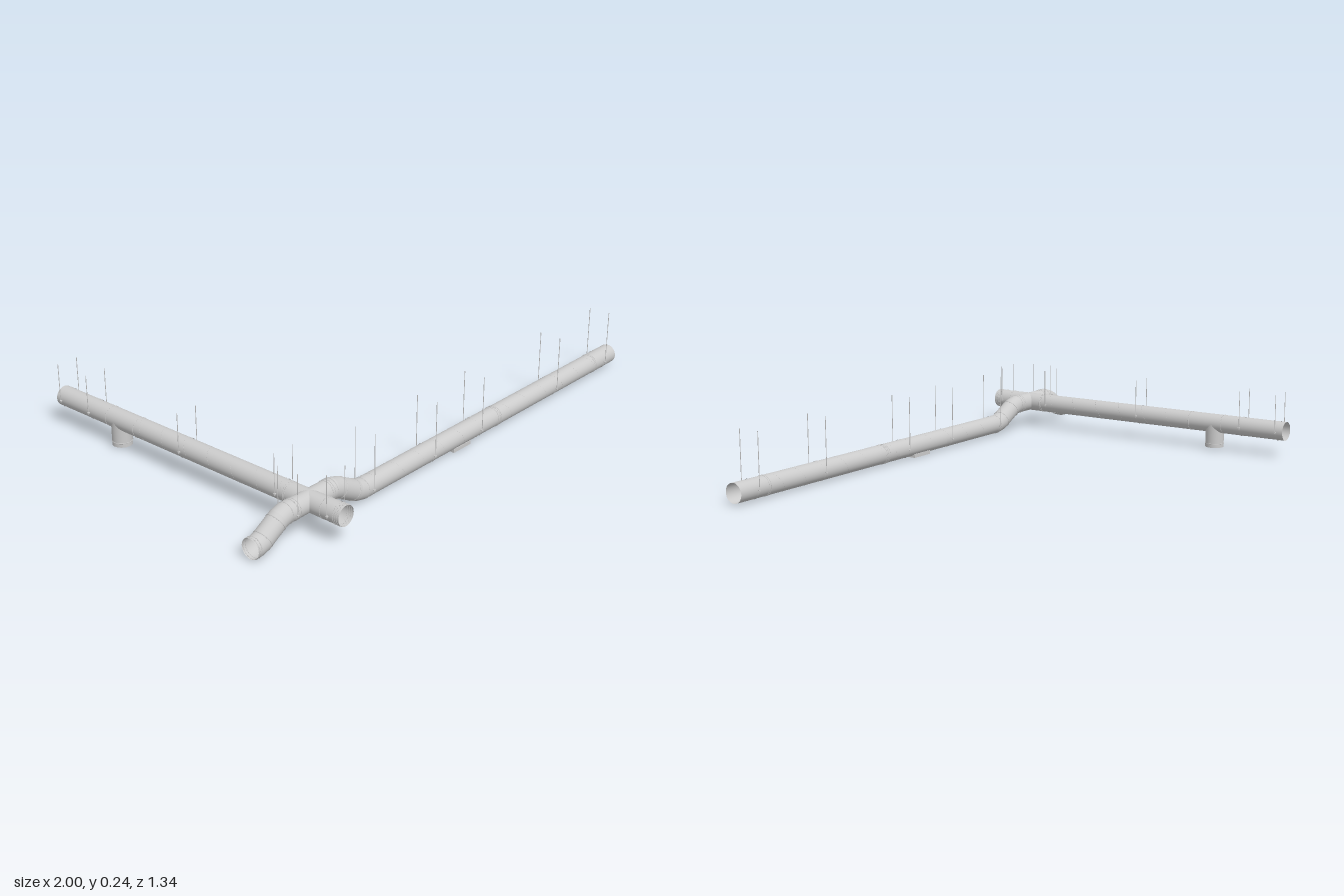
import * as THREE from 'three';

const R = 0.036;
const SIDES = 48;
const LOW = 0.04, HIGH = 0.1;      // axis heights of the ducts
const ZM = 0.514, XC = -0.736;     // main duct z, cross duct x
const UP = new THREE.Vector3(0, 1, 0);
const V = (x, y, z) => new THREE.Vector3(x, y, z);

export function createModel() {
  const model = new THREE.Group();
  const mat = new THREE.MeshStandardMaterial({ color: 0xcccccc, side: THREE.DoubleSide });

  function add(name, geo, parent = model) {
    const mesh = new THREE.Mesh(geo, mat);
    mesh.name = name;
    parent.add(mesh);
    return mesh;
  }

  // Thin open pipe; each cut returns how far an end slides along the axis
  function pipe(name, a, b, cutA, cutB) {
    const dir = b.clone().sub(a), len = dir.length();
    dir.normalize();
    const geo = new THREE.CylinderGeometry(R, R, len, SIDES, 1, true);
    geo.applyQuaternion(new THREE.Quaternion().setFromUnitVectors(UP, dir));
    const pos = geo.attributes.position, p = V(0, 0, 0), mid = a.clone().lerp(b, 0.5);
    for (let i = 0; i < pos.count; i++) {
      p.fromBufferAttribute(pos, i);
      const t = p.dot(dir);
      const off = p.clone().addScaledVector(dir, -t);
      const cut = t < 0 ? cutA : cutB;
      if (cut) p.addScaledVector(dir, cut(off, dir));
      p.add(mid);
      pos.setXYZ(i, p.x, p.y, p.z);
    }
    return add(name, geo);
  }

  // Saddle where equal pipes meet, measured along one coordinate
  const saddle = (axis, sign, test) => off =>
    test && !test(off) ? 0 : sign * Math.sqrt(Math.max(0, R * R - off[axis] ** 2));
  const miter = n => (off, d) => -off.dot(n) / d.dot(n);

  // Run of straight pieces with mitred joints
  function run(name, pts, firstCut, lastCut) {
    const dirs = pts.slice(1).map((p, i) => p.clone().sub(pts[i]).normalize());
    const joint = i => miter(dirs[i - 1].clone().add(dirs[i]).normalize());
    for (let i = 0; i < dirs.length; i++) {
      pipe(name, pts[i], pts[i + 1],
        i === 0 ? firstCut : joint(i),
        i === dirs.length - 1 ? lastCut : joint(i + 1));
    }
  }

  // Raised bead round a pipe
  function bead(center, dir) {
    const m = add('jointBead', new THREE.TorusGeometry(R, 0.0014, 6, SIDES));
    m.position.copy(center);
    m.quaternion.setFromUnitVectors(V(0, 0, 1), dir.clone().normalize());
  }

  // Slim helical seam along a straight duct
  function seam(a, b, pitch = 0.11) {
    const dir = b.clone().sub(a), len = dir.length();
    dir.normalize();
    const side = V(0, 1, 0).cross(dir), turns = len / pitch, n = Math.ceil(turns * 20);
    const pts = [];
    for (let i = 0; i <= n; i++) {
      const k = i / n, ang = k * turns * Math.PI * 2;
      pts.push(a.clone().addScaledVector(dir, k * len)
        .addScaledVector(side, R * Math.cos(ang))
        .addScaledVector(UP, R * Math.sin(ang)));
    }
    add('spiralSeam', new THREE.TubeGeometry(new THREE.CatmullRomCurve3(pts), n, 0.0005, 4));
  }

  // Strap with an ear and a rod on both sides
  function hanger(x, y, z, alongX) {
    const g = new THREE.Group();
    g.name = 'hanger';
    const strap = add('strap', new THREE.CylinderGeometry(R + 0.0015, R + 0.0015, 0.007, SIDES, 1, true), g);
    strap.rotation.x = Math.PI / 2;
    for (const s of [-1, 1]) {
      add('ear', new THREE.BoxGeometry(0.008, 0.003, 0.007), g).position.set(s * (R + 0.005), 0, 0);
      const top = 0.243 - y, bottom = -0.006;
      add('rod', new THREE.CylinderGeometry(0.0013, 0.0013, top - bottom, 8), g)
        .position.set(s * (R + 0.006), (top + bottom) / 2, 0);
      add('nut', new THREE.CylinderGeometry(0.003, 0.003, 0.003, 6), g)
        .position.set(s * (R + 0.006), -0.003, 0);
    }
    g.position.set(x, y, z);
    if (alongX) g.rotation.y = Math.PI / 2;
    model.add(g);
  }

  // Main duct, stepping up over the cross fitting
  const main = list => list.map(([x, y]) => V(x, y, ZM));
  run('mainDuctLeftStep', main([[-1, LOW], [-0.977, LOW], [-0.952, 0.047], [-0.876, 0.092],
    [-0.85, HIGH], [XC, HIGH]]), null, saddle('y', -1));
  run('mainDuct', main([[XC, HIGH], [-0.632, HIGH], [-0.604, 0.092], [-0.518, 0.047],
    [-0.488, LOW], [1, LOW]]), saddle('y', 1), null);

  // Cross duct, with a tee near its back end
  const zTee = -0.368;
  const cz = z => V(XC, HIGH, z);
  const lower = off => off.y < 0;
  pipe('crossDuctFront', cz(0.668), cz(ZM), null, saddle('y', -1));
  pipe('crossDuct', cz(ZM), cz(zTee), saddle('y', 1), saddle('x', -1, lower));
  pipe('crossDuctBack', cz(zTee), cz(-0.672), saddle('x', 1, lower), null);
  pipe('teeOutlet', cz(zTee), V(XC, 0.007, zTee), saddle('x', 1), null);

  // Joint beads
  const X = V(1, 0, 0), Z = V(0, 0, 1);
  for (const x of [-0.995, -0.985]) bead(V(x, LOW, ZM), X);
  for (const x of [-0.845, -0.82, -0.81, -0.66, -0.65, -0.636]) bead(V(x, HIGH, ZM), X);
  for (const x of [-0.482, 0.228, 0.237, 0.246, 0.858, 0.866]) bead(V(x, LOW, ZM), X);
  for (const z of [0.66, 0.652, 0.644, 0.59, 0.44, 0.433, -0.268, -0.41]) bead(cz(z), Z);
  bead(V(XC, 0.022, zTee), UP);
  const slopeL = V(0.076, 0.045, 0), slopeR = V(0.086, -0.045, 0);
  for (const t of [0.1, 0.85]) {
    bead(V(-0.952, 0.047, ZM).addScaledVector(slopeL, t), slopeL);
    bead(V(-0.604, 0.092, ZM).addScaledVector(slopeR, t), slopeR);
  }

  seam(V(-0.47, LOW, ZM), V(0.225, LOW, ZM));
  seam(V(0.25, LOW, ZM), V(0.855, LOW, ZM));
  seam(cz(0.43), cz(-0.265));

  // Hangers
  hanger(-0.832, HIGH, ZM, true);
  for (const x of [-0.466, -0.145, 0.12, 0.587, 0.92]) hanger(x, LOW, ZM, true);
  for (const z of [0.626, 0.406, -0.033, -0.493, -0.644]) hanger(XC, HIGH, z, false);

  // Outlet collar under the main duct
  add('bottomOutlet', new THREE.BoxGeometry(0.095, 0.014, 0.054)).position.set(0.027, 0.007, ZM);

  // Curved cover plate on the back of the main duct
  const plate = new THREE.CylinderGeometry(R + 0.002, R + 0.002, 0.29, 12, 1, true, Math.PI - 0.4, 0.8);
  plate.rotateZ(Math.PI / 2);
  add('coverPlate', plate).position.set(0.03, LOW, ZM);

  return model;
}
